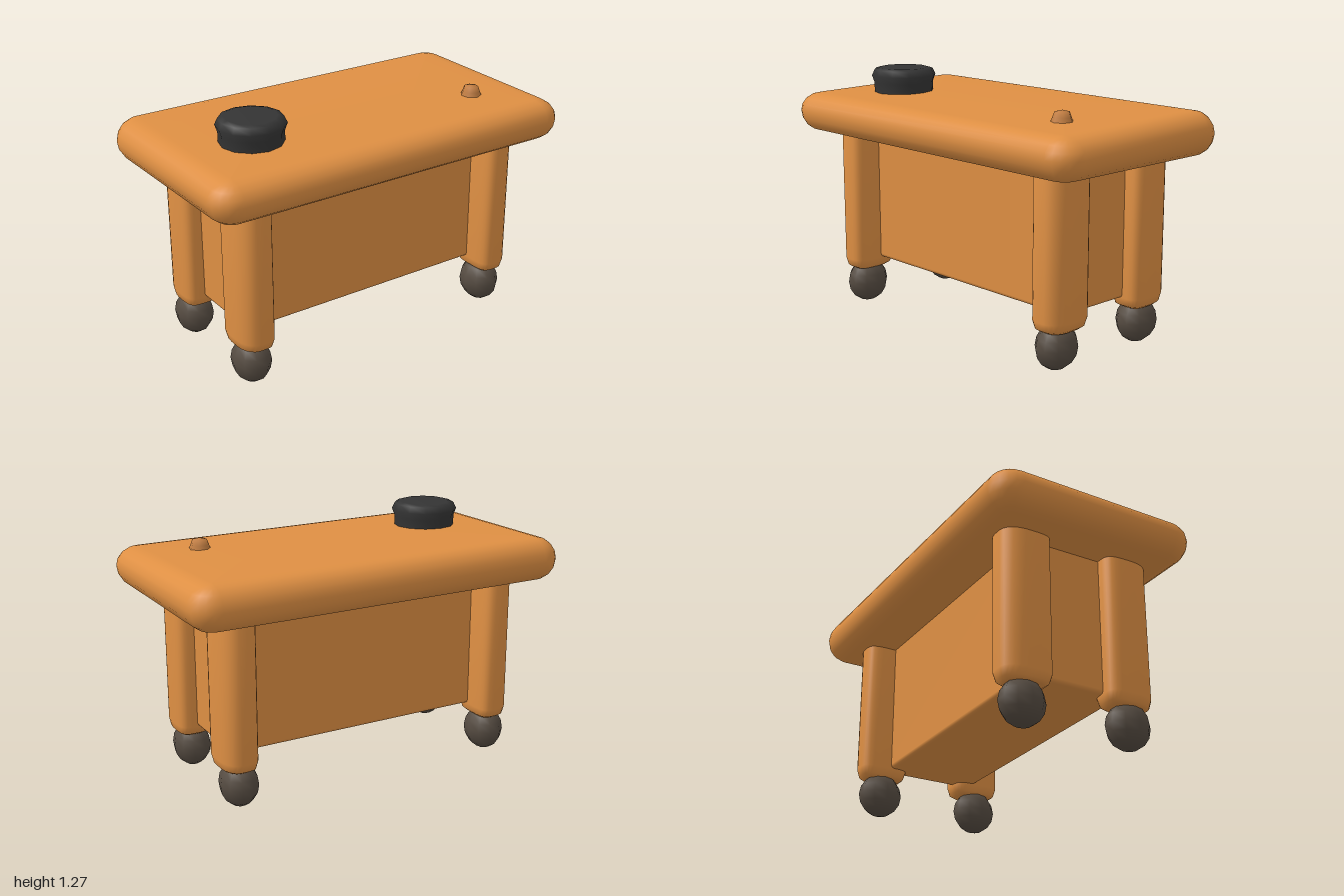
import * as THREE from 'three';
import { RoundedBoxGeometry } from 'three/addons/geometries/RoundedBoxGeometry.js';

const paint = (name, color) => {
  const m = new THREE.MeshStandardMaterial({ color });
  m.name = name;
  return m;
};
const v2 = ([x, y]) => new THREE.Vector2(x, y);

// Smooth skin through closed rings of [x, y, z] points, from bottom to top
function loft(rings) {
  const n = rings[0].length, index = [];
  for (let r = 0; r < rings.length - 1; r++) {
    for (let i = 0; i < n; i++) {
      const a = r * n + i, b = r * n + ((i + 1) % n);
      index.push(a, a + n, b, b, a + n, b + n);
    }
  }
  const g = new THREE.BufferGeometry();
  g.setAttribute('position', new THREE.Float32BufferAttribute(rings.flat(2), 3));
  g.setIndex(index);
  g.computeVertexNormals();
  return g;
}

// Rounded rectangle of the table top, drawn in by an inset
function slabOutline(inset) {
  const hx = 1 - inset, hz = 0.547 - inset, r = Math.max(0, 0.125 - inset);
  const points = [];
  for (let corner = 0; corner < 4; corner++) {
    const sx = corner === 0 || corner === 3 ? 1 : -1, sz = corner < 2 ? 1 : -1;
    for (let i = 0; i <= 5; i++) {
      const a = (corner + i / 5) * Math.PI / 2;
      points.push([sx * (hx - r) + r * Math.cos(a), sz * (hz - r) + r * Math.sin(a)]);
    }
  }
  return points;
}

// Table top: round rim, flat underside, upper face higher at the back and lower at the ends
function slabGeometry() {
  const top = 1.157, bottom = 0.944, mid = (top + bottom) / 2, half = (top - bottom) / 2;
  const ring = (inset, level) => slabOutline(inset).map(([x, z]) => {
    const swell = Math.max(0, level) * (-0.016 * z - 0.012 * x ** 4);
    return [x, mid + half * level + swell, z];
  });
  const rings = [0.547, 0.3, 0.13].map((inset) => ring(inset, -1));
  for (let i = 0; i <= 8; i++) {
    const a = (i / 8 - 0.5) * Math.PI;
    rings.push(ring(0.1 * (1 - Math.cos(a)), Math.sin(a)));
  }
  for (const inset of [0.13, 0.2, 0.3, 0.42, 0.547]) rings.push(ring(inset, 1));
  return loft(rings);
}

// Leg: rounder on its outer corner, tucked in at the foot
function legGeometry(sx, sz) {
  const steps = [[0, 0.2], [0.7, 0.2], [0.9, 0.214], [1, 0.255], [1, 0.99], [0, 0.99]];
  const bend = (v, e) => Math.sign(v) * Math.abs(v) ** e;
  return loft(steps.map(([scale, y]) => Array.from({ length: 24 }, (_, i) => {
    const a = ((i + 0.5) / 24) * Math.PI * 2, c = Math.cos(a), s = Math.sin(a);
    const e = c * sx > 0 && s * sz > 0 ? 0.85 : 0.5;
    return [0.087 * scale * bend(c, e), y, 0.126 * scale * bend(s, e)];
  })));
}

export function createModel() {
  const wood = paint('orange wood', 0xde8f43);
  const pegWood = paint('darker wood', 0xc07c40);
  const caster = paint('dark brown', 0x564c42);
  const black = paint('charcoal', 0x343434);
  const model = new THREE.Group();

  const add = (name, geometry, material, x = 0, y = 0, z = 0) => {
    const mesh = new THREE.Mesh(geometry, material);
    mesh.name = name;
    mesh.position.set(x, y, z);
    model.add(mesh);
    return mesh;
  };

  add('tableTop', slabGeometry(), wood);

  // Cabinet set in behind the legs
  add('cabinet', new RoundedBoxGeometry(1.45, 0.74, 0.51, 2, 0.02), wood, 0, 0.625, 0);

  // Four legs on ball feet
  for (const sx of [-1, 1]) {
    for (const sz of [-1, 1]) {
      add('leg', legGeometry(sx, sz), wood, sx * 0.723, 0, sz * 0.277);
      const ball = add('ballFoot', new THREE.SphereGeometry(1, 10, 8), caster, sx * 0.715 - 0.008, 0.117, sz * 0.282);
      ball.scale.set(0.094, 0.114, 0.113);
    }
  }

  // Round dial: straight neck, flared rim and softened cap
  const dial = [[0.155, 1.14], [0.155, 1.2], [0.168, 1.237], [0.153, 1.268], [0.125, 1.276], [0, 1.276]];
  add('dial', new THREE.LatheGeometry(dial.map(v2), 12), black, -0.585, 0, 0.118);

  // Small peg on the other end
  const peg = [[0.057, 1.14], [0.045, 1.17], [0.036, 1.195], [0, 1.204]];
  add('peg', new THREE.LatheGeometry(peg.map(v2), 7), pegWood, 0.655, 0, 0.208);

  return model;
}
